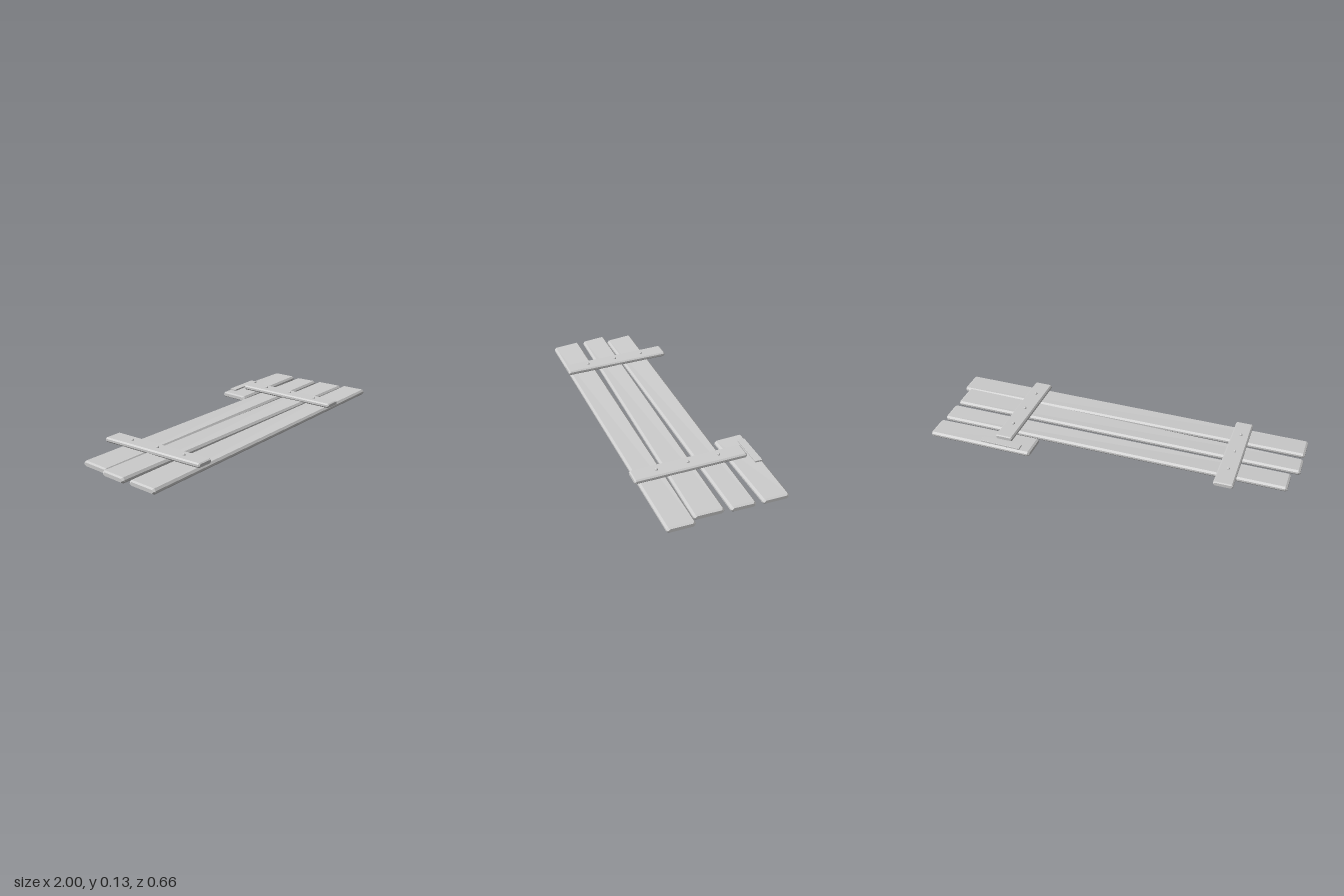
import * as THREE from 'three';

const wood = new THREE.MeshStandardMaterial({ color: 0xcccccc });
wood.name = 'grey wood';

// Chamfered board lofted between two ends.
// Each end: [position along axis, low side, high side, bottom y at low side, bottom y at high side]
function board(name, axis, start, end, thick, c) {
  const ring = ([u, v0, v1, y0, y1], inset) => {
    const w = v1 - v0, k = c + inset;
    const at = (v, h) => {
      const y = y0 + (y1 - y0) * (v - v0) / w + h;
      return axis === 'x' ? [u, y, v] : [v, y, u];
    };
    const a = v0 + inset, b = v1 - inset, t = thick - inset;
    return [
      at(v0 + k, inset), at(v1 - k, inset), at(b, k), at(b, thick - k),
      at(v1 - k, t), at(v0 + k, t), at(a, thick - k), at(a, k),
    ];
  };
  const lerp = (f) => start.map((s, i) => s + (end[i] - s) * f);
  const f = c / (end[0] - start[0]);
  const rings = [ring(start, c * 0.6), ring(lerp(f), 0), ring(lerp(1 - f), 0), ring(end, c * 0.6)];
  const idx = [];
  const tri = (a, b, d) => (axis === 'x' ? idx.push(a, b, d) : idx.push(a, d, b));
  for (let s = 0; s < 3; s++) {
    for (let i = 0; i < 8; i++) {
      const a = s * 8 + i, b = s * 8 + (i + 1) % 8;
      tri(a, a + 8, b + 8);
      tri(a, b + 8, b);
    }
  }
  for (let i = 1; i < 7; i++) {
    tri(0, i, i + 1);
    tri(24, 24 + i + 1, 24 + i);
  }
  const indexed = new THREE.BufferGeometry();
  indexed.setAttribute('position', new THREE.Float32BufferAttribute(rings.flat(2), 3));
  indexed.setIndex(idx);
  const geo = indexed.toNonIndexed();
  geo.computeVertexNormals();
  const mesh = new THREE.Mesh(geo, wood);
  mesh.name = name;
  return mesh;
}

export function createModel() {
  const group = new THREE.Group();
  group.name = 'plankPanel';

  // Long planks, slightly uneven, rising toward +x
  group.add(
    board('frontPlank', 'x', [-1, 0.165, 0.32, 0.017, 0.002], [1, 0.157, 0.303, 0.06, 0.056], 0.03, 0.01),
    board('middlePlank', 'x', [-1, -0.003, 0.132, 0.029, 0.015], [0.965, 0, 0.157, 0.07, 0.066], 0.03, 0.01),
    board('backPlank', 'x', [-0.957, -0.165, -0.015, 0.033, 0.017], [0.97, -0.16, -0.028, 0.071, 0.069], 0.03, 0.01),
    // Broken short plank at the back
    board('brokenPlank', 'x', [0.4, -0.334, -0.178, 0.07, 0.06], [0.975, -0.33, -0.19, 0.08, 0.076], 0.029, 0.01),
    // Loose splinter lying on the broken plank
    board('splinter', 'x', [0.46, -0.324, -0.285, 0.099, 0.098], [0.68, -0.324, -0.285, 0.107, 0.106], 0.009, 0.001),
  );

  // Cross battens with their nails
  const battens = [
    { name: 'rightBatten', x: -0.64, back: [-0.27, -0.694, -0.588], front: [0.33, -0.686, -0.59], y: 0.045 },
    { name: 'leftBatten', x: 0.57, back: [-0.268, 0.523, 0.62], front: [0.328, 0.519, 0.62], y: 0.074 },
  ];
  const nailGeo = new THREE.SphereGeometry(0.008, 12, 8);
  for (const { name, x, back, front, y } of battens) {
    group.add(board(name, 'z', [...back, y + 0.025, y + 0.027], [...front, y, y + 0.002], 0.025, 0.007));
    for (const z of [0.2, 0.033, -0.133]) {
      const nail = new THREE.Mesh(nailGeo, wood);
      nail.name = 'nail';
      nail.position.set(x, y + 0.028 + (0.33 - z) * 0.042, z);
      group.add(nail);
    }
  }
  return group;
}
